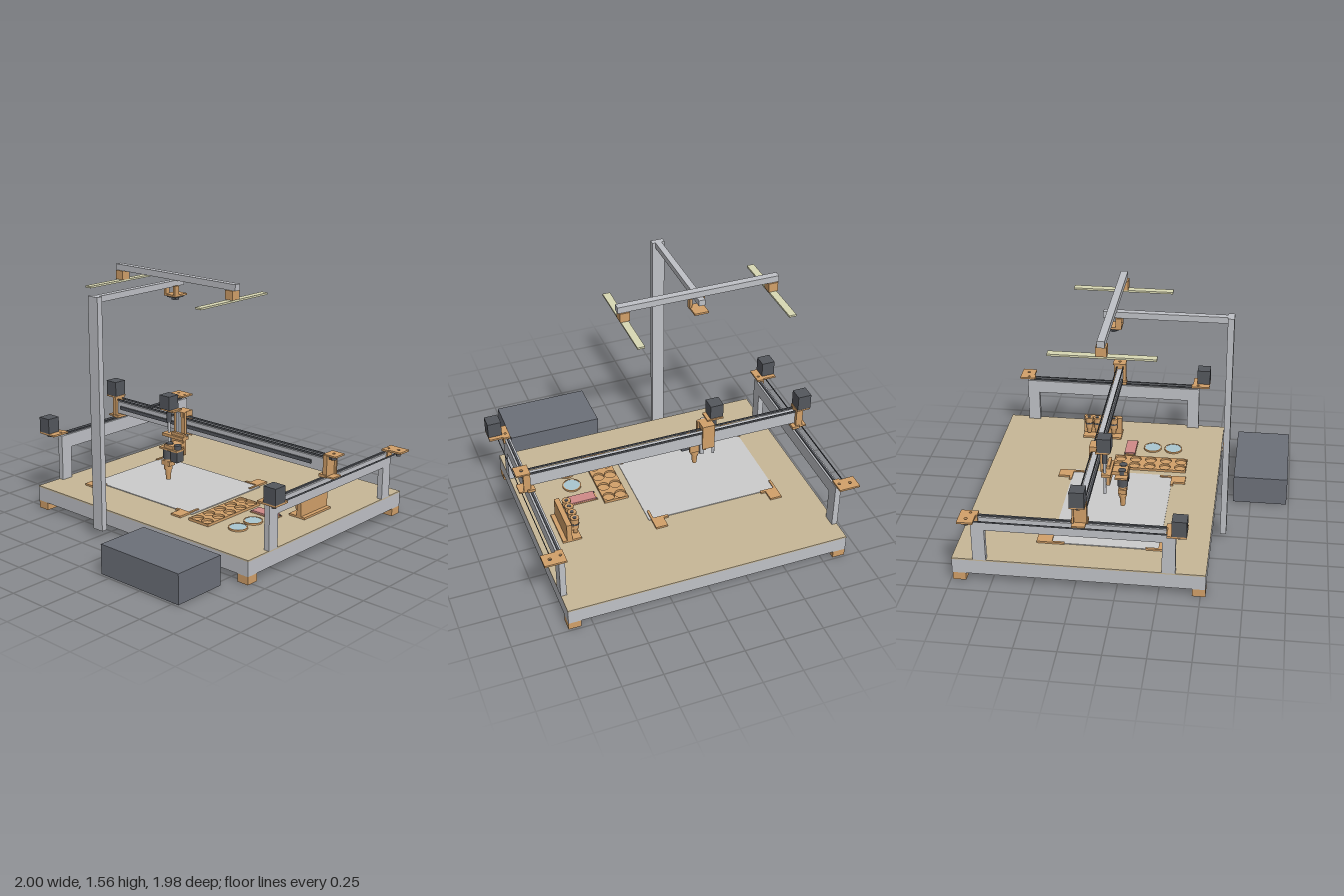
import * as THREE from 'three';

const mat = (color) => new THREE.MeshStandardMaterial({ color });
const TAN = mat(0xd2a069), METAL = mat(0xbfc1c6), DARK = mat(0x54575d), CASE = mat(0x6c7079);
const WOOD = mat(0xc7b797), SHEET = mat(0xd8d8d8), LIGHT = mat(0xd9d8b4), GLASS = mat(0xa9c6d0), PINK = mat(0xd08a88);

export function createModel() {
  const root = new THREE.Group();
  let target = root;

  const part = (name, build) => {
    const g = new THREE.Group();
    g.name = name;
    root.add(g);
    target = g;
    build(g);
    target = root;
    return g;
  };
  const add = (name, geo, m) => {
    const mesh = new THREE.Mesh(geo, m);
    mesh.name = name;
    target.add(mesh);
    return mesh;
  };
  // Box given by its extents on each axis
  const box = (name, m, x0, x1, y0, y1, z0, z1) => {
    const b = add(name, new THREE.BoxGeometry(Math.abs(x1 - x0), y1 - y0, Math.abs(z1 - z0)), m);
    b.position.set((x0 + x1) / 2, (y0 + y1) / 2, (z0 + z1) / 2);
    return b;
  };
  // Upright cylinder
  const cyl = (name, m, x, z, y0, y1, r, rb = r) => {
    const c = add(name, new THREE.CylinderGeometry(r, rb, y1 - y0, 24), m);
    c.position.set(x, (y0 + y1) / 2, z);
    return c;
  };
  // Flat plate with round holes [x, z, r]; outline is a list of [x, z]
  const plate = (name, m, outline, holes, y, h) => {
    const s = new THREE.Shape(outline.map(([x, z]) => new THREE.Vector2(x, -z)));
    for (const [x, z, r] of holes) s.holes.push(new THREE.Path().absarc(x, -z, r, 0, Math.PI * 2, true));
    const geo = new THREE.ExtrudeGeometry(s, { depth: h, bevelEnabled: false, curveSegments: 20 });
    geo.rotateX(-Math.PI / 2);
    return add(name, geo, m).position.set(0, y, 0);
  };
  const rect = (x0, x1, z0, z1) => [[x0, z0], [x0, z1], [x1, z1], [x1, z0]];
  // Stepper motor with its shaft and pulley underneath
  const motor = (x, z, y, s = 0.088, h = 0.1) => {
    box('motor', DARK, x - s / 2, x + s / 2, y, y + h, z - s / 2, z + s / 2);
    cyl('motorShaft', METAL, x, z, y - 0.03, y, 0.008);
    cyl('pulley', DARK, x, z, y - 0.035, y - 0.015, 0.014);
  };

  // Base frame, cross members, feet and board
  part('baseFrame', () => {
    for (const s of [-1, 1]) box('sideBeam', METAL, s * 0.82, s * 0.9, 0.05, 0.143, -0.99, 0.53);
    for (const z of [-0.95, -0.47, 0.01, 0.49]) box('crossBeam', METAL, -0.82, 0.82, 0.05, 0.143, z - 0.04, z + 0.04);
    box('baseBoard', WOOD, -0.9, 0.9, 0.143, 0.152, -0.99, 0.53);
    for (const x of [-0.86, 0.86]) for (const z of [-0.947, 0.49])
      box('foot', TAN, x - 0.04, x + 0.04, 0, 0.05, z - 0.04, z + 0.04);
  });

  // Side rails on legs, with corner brackets
  for (const s of [-1, 1]) {
    part('sideRail', () => {
      const xi = s * 0.865, xo = s * 0.902;
      box('railBeam', METAL, xi, xo, 0.365, 0.455, -0.86, 0.35);
      for (const [a, b] of [[-0.86, -0.78], [0.27, 0.35]]) box('railLeg', METAL, xi, xo, 0.152, 0.365, a, b);
      box('slideTrack', DARK, s * 0.877, s * 0.89, 0.455, 0.464, -0.82, 0.3);
      for (const [zIn, zOut] of [[-0.82, -0.915], [0.305, 0.42]]) {
        const dz = Math.sign(zIn);
        plate('cornerBracket', TAN,
          [[s * 0.865, zIn - dz * 0.01], [s * 0.865, zOut], [s * 1, zOut], [s * 1, zIn], [s * 0.91, zIn], [s * 0.91, zIn - dz * 0.01]],
          [[s * 0.955, (zIn + zOut) / 2, 0.01], [s * 0.888, zIn + dz * 0.035, 0.008]], 0.464, 0.012);
        box('bracketTab', TAN, s * 0.902, s * 0.912, 0.43, 0.464, zIn - dz * 0.01, zIn + dz * 0.04);
      }
      motor(s * 0.956, 0.376, 0.476);
      cyl('idlerPulley', DARK, s * 0.955, -0.868, 0.435, 0.464, 0.014);
      box('belt', DARK, s * 0.939, s * 0.942, 0.443, 0.453, -0.868, 0.376);
    });
  }

  // Gantry beam with track, belt and end carriages
  part('gantry', () => {
    box('gantryBeam', METAL, -0.9, 0.9, 0.49, 0.573, -0.226, -0.186);
    box('frontTrack', DARK, -0.855, 0.785, 0.524, 0.546, -0.186, -0.174);
    for (const z of [-0.23, -0.186]) box('belt', DARK, -0.93, 0.93, 0.58, 0.592, z - 0.003, z + 0.003);
    for (const s of [-1, 1]) {
      box('endPlate', TAN, s * 0.886, s * 0.915, 0.47, 0.604, -0.25, -0.165);
      box('railSlider', TAN, s * 0.86, s * 0.91, 0.464, 0.482, -0.26, -0.16);
      box('sliderFlange', TAN, s * 0.91, s * 0.96, 0.464, 0.474, -0.25, -0.17);
      plate('topPlate', TAN, rect(s * 0.885, s * 0.975, -0.258, -0.168), [[s * 0.93, -0.213, 0.01]], 0.6, 0.01);
      box('plateRib', TAN, s * 0.915, s * 0.93, 0.474, 0.6, -0.25, -0.24);
    }
    motor(-0.932, -0.213, 0.61);
    cyl('idlerPulley', DARK, 0.93, -0.213, 0.572, 0.6, 0.018);
  });

  // Tool carriage riding on the gantry
  part('toolCarriage', () => {
    box('carriageBack', TAN, -0.322, -0.24, 0.46, 0.635, -0.24, -0.23);
    box('carriageTop', TAN, -0.322, -0.24, 0.6, 0.635, -0.24, -0.15);
    box('carriageFront', TAN, -0.322, -0.23, 0.46, 0.635, -0.172, -0.152);
    plate('motorMount', TAN, rect(-0.4, -0.29, -0.19, -0.105), [[-0.357, -0.14, 0.012]], 0.632, 0.012);
    motor(-0.357, -0.14, 0.644, 0.086, 0.092);
    cyl('leadScrew', METAL, -0.357, -0.14, 0.33, 0.64, 0.009);
    cyl('screwCoupler', DARK, -0.357, -0.14, 0.55, 0.62, 0.016);
    box('liftTrack', METAL, -0.29, -0.262, 0.35, 0.632, -0.152, -0.135);
    box('liftNut', TAN, -0.385, -0.2, 0.46, 0.48, -0.16, -0.1);
    box('liftPlate', TAN, -0.31, -0.2, 0.36, 0.5, -0.135, -0.115);
    box('toolArm', TAN, -0.28, -0.2, 0.42, 0.445, -0.12, -0.01);
    plate('toolShelf', TAN, rect(-0.32, -0.165, -0.085, -0.005), [[-0.19, -0.045, 0.012]], 0.41, 0.012);
    cyl('shelfCap', DARK, -0.26, -0.045, 0.422, 0.45, 0.024);
    cyl('shelfCap', DARK, -0.19, -0.045, 0.422, 0.45, 0.024);
    box('toolMotor', DARK, -0.22, -0.165, 0.34, 0.41, -0.075, -0.01);
    // Hanging tool
    cyl('toolCollar', DARK, -0.27, -0.04, 0.345, 0.41, 0.033);
    cyl('toolBody', TAN, -0.27, -0.04, 0.27, 0.345, 0.027);
    cyl('toolTip', TAN, -0.27, -0.04, 0.2, 0.27, 0.021, 0.015);
    box('toolClip', TAN, -0.307, -0.233, 0.3, 0.33, -0.066, -0.014);
  });

  // Overhead post, arm, lights and camera
  part('overheadMount', () => {
    box('post', METAL, -0.29, -0.21, 0.045, 1.52, 0.577, 0.615);
    box('arm', METAL, -0.27, -0.23, 1.482, 1.52, -0.15, 0.577);
    box('crossbar', METAL, -0.762, 0.265, 1.52, 1.56, -0.115, -0.072);
    for (const x of [-0.724, 0.224]) {
      box('lightBracket', TAN, x - 0.03, x + 0.03, 1.462, 1.52, -0.125, -0.062);
      box('lightStrip', LIGHT, x - 0.023, x + 0.023, 1.445, 1.462, -0.4, 0.215).scale.y = 0.7;
    }
    box('cameraMount', TAN, -0.295, -0.205, 1.42, 1.432, -0.15, -0.04);
    for (const x of [-0.29, -0.21]) box('mountSide', TAN, x - 0.008, x + 0.008, 1.42, 1.49, -0.075, -0.04);
    box('cameraBody', DARK, -0.285, -0.215, 1.41, 1.42, -0.13, -0.055);
    cyl('cameraLens', DARK, -0.25, -0.092, 1.395, 1.41, 0.024);
  });

  // Work sheet with corner clips
  part('workSheet', () => {
    box('sheet', SHEET, -0.675, 0.19, 0.152, 0.157, -0.425, 0.232);
    for (const [x, sx] of [[-0.682, 1], [0.175, -1]]) for (const [z, sz] of [[-0.515, 1], [0.32, -1]])
      plate('cornerClip', TAN, [[x, z], [x + sx * 0.078, z], [x + sx * 0.078, z + sz * 0.075],
        [x + sx * 0.11, z + sz * 0.075], [x + sx * 0.11, z + sz * 0.093], [x + sx * 0.015, z + sz * 0.093],
        [x + sx * 0.015, z + sz * 0.17], [x, z + sz * 0.17]], [], 0.152, 0.012);
  });

  // Vial rack with two rows of wells
  part('vialRack', () => {
    const holes = [];
    for (let i = 0; i < 5; i++) for (const x of [0.278, 0.357]) holes.push([x, -0.135 + i * 0.102, 0.037]);
    box('rackFloor', TAN, 0.24, 0.397, 0.152, 0.155, -0.175, 0.312);
    plate('rackTop', TAN, rect(0.238, 0.397, -0.175, 0.312), holes, 0.155, 0.014);
  });

  // Cleaning pad in its tray
  part('cleaningPad', () => {
    box('padTray', TAN, 0.425, 0.618, 0.152, 0.158, -0.122, -0.046);
    box('pad', PINK, 0.437, 0.604, 0.158, 0.168, -0.12, -0.048);
    for (const x of [0.432, 0.611]) for (const z of [-0.115, -0.053]) cyl('trayPin', DARK, x, z, 0.156, 0.163, 0.005);
  });

  // Round dishes sunk through the board
  for (const z of [0.062, 0.203]) part('dish', () => {
    const profile = [[0.015, 0.07], [0.055, 0.07], [0.055, 0.152], [0.06, 0.152], [0.06, 0.163], [0.053, 0.163], [0.053, 0.15]];
    const holder = new THREE.LatheGeometry(profile.map(([r, y]) => new THREE.Vector2(r, y)), 32).toNonIndexed();
    holder.computeVertexNormals();
    const m = TAN.clone();
    m.side = THREE.DoubleSide;
    add('dishHolder', holder, m).position.set(0.542, 0, z);
    cyl('dishFill', GLASS, 0.542, z, 0.14, 0.161, 0.053);
  });

  // Stand holding four spare tools
  part('toolStand', () => {
    box('standBase', TAN, 0.635, 0.755, 0.152, 0.165, -0.435, -0.17);
    box('standWall', TAN, 0.695, 0.728, 0.165, 0.285, -0.435, -0.17);
    for (let i = 0; i < 4; i++) {
      const z = -0.395 + i * 0.057;
      box('toolHook', TAN, 0.665, 0.695, 0.225, 0.25, z - 0.023, z + 0.023);
      cyl('spareTip', TAN, 0.663, z, 0.185, 0.225, 0.02, 0.014);
      cyl('spareBody', TAN, 0.663, z, 0.225, 0.29, 0.025);
      cyl('spareBand', DARK, 0.663, z, 0.255, 0.265, 0.027);
      cyl('spareCap', TAN, 0.663, z, 0.29, 0.302, 0.028);
      cyl('spareSocket', DARK, 0.663, z, 0.302, 0.305, 0.012);
    }
  });

  // Separate control box in front
  part('controlBox', () => box('controlCase', CASE, 0.172, 0.786, 0, 0.187, 0.635, 0.985));

  // Bracket outlines wind either way, so show both faces
  for (const m of [TAN]) m.side = THREE.DoubleSide;
  return root;
}
